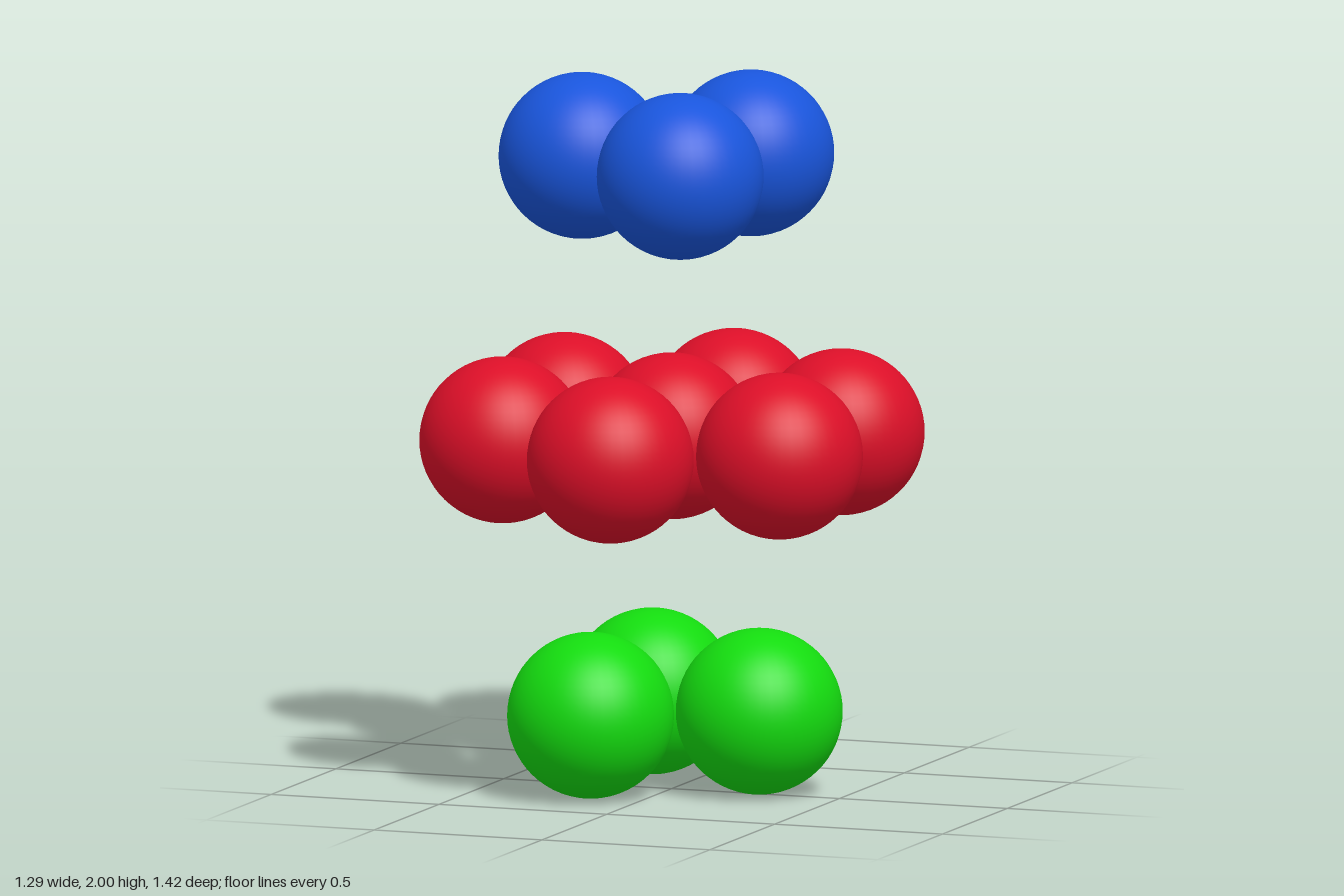
import * as THREE from 'three';

const RADIUS = 0.232;
const ball = new THREE.SphereGeometry(RADIUS, 48, 32);

// One layer of equal balls: a ring around (cx, cz), starting at the given angle
function ballLayer(name, color, { y, count, ring, start, cx = 0, cz = -0.003, middle = false }) {
  const layer = new THREE.Group();
  layer.name = name;
  const material = new THREE.MeshStandardMaterial({ color });
  const add = (x, z) => {
    const mesh = new THREE.Mesh(ball, material);
    mesh.name = `${name}Ball`;
    mesh.position.set(x, y, z);
    layer.add(mesh);
  };
  if (middle) add(cx, cz);
  for (let i = 0; i < count; i++) {
    const a = THREE.MathUtils.degToRad(start + (i * 360) / count);
    add(cx + ring * Math.cos(a), cz + ring * Math.sin(a));
  }
  return layer;
}

export function createModel() {
  const model = new THREE.Group();
  model.name = 'stackedBallLayers';
  model.add(
    // bottom triangle
    ballLayer('bottomLayer', 0x14dc0f, { y: 0.237, count: 3, ring: 0.274, start: 0, cx: -0.014 }),
    // hexagon with a ball in the middle
    ballLayer('middleLayer', 0xdc0f28, { y: 0.997, count: 6, ring: 0.476, start: 30, middle: true }),
    // top triangle, turned the other way
    ballLayer('topLayer', 0x1955dc, { y: 1.768, count: 3, ring: 0.272, start: 63.5, cx: -0.003 })
  );
  return model;
}
